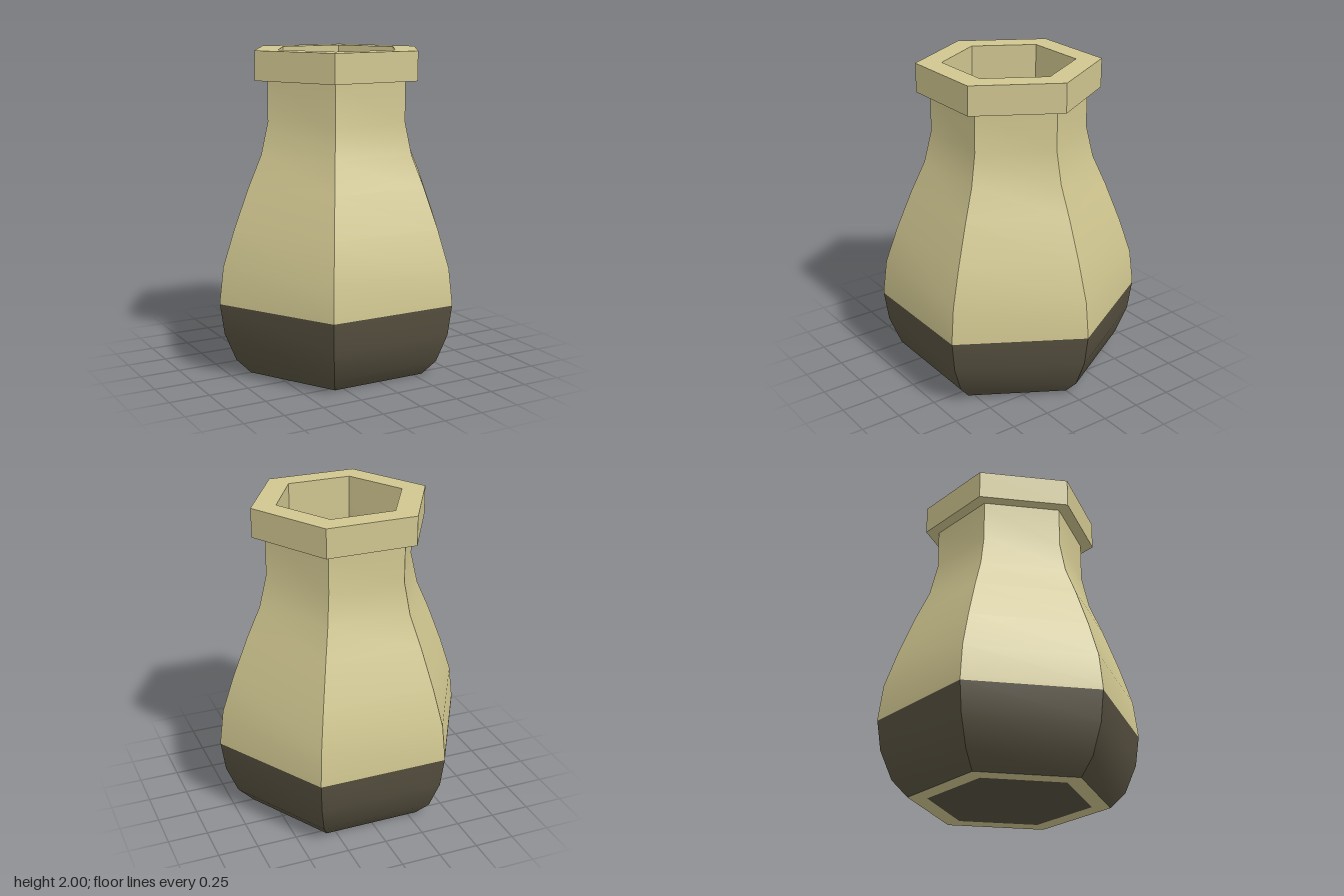
import * as THREE from 'three';
import { toCreasedNormals } from 'three/addons/utils/BufferGeometryUtils.js';

export function createModel() {
  const group = new THREE.Group();
  const clay = new THREE.MeshStandardMaterial({ color: 0xd0c690 });
  clay.name = 'pale clay';
  const glaze = new THREE.MeshStandardMaterial({ color: 0x575140 });
  glaze.name = 'dark glaze';

  // Six-sided turned part; profile is [corner radius, height], outside going up.
  // Soft along the profile, sharp at the six corners.
  function turned(name, profile, material, crease = 0.55) {
    const points = profile.map(([r, y]) => new THREE.Vector2(r, y));
    const geometry = toCreasedNormals(
      new THREE.LatheGeometry(points, 6, Math.PI / 6), crease);
    const mesh = new THREE.Mesh(geometry, material);
    mesh.name = name;
    group.add(mesh);
  }

  // Outer shell
  turned('base', [[0.617, 0], [0.715, 0.1], [0.79, 0.28], [0.817, 0.47]], glaze);
  turned('body', [
    [0.817, 0.47], [0.815, 0.5], [0.79, 0.7], [0.712, 0.93], [0.613, 1.18],
    [0.527, 1.37], [0.48, 1.57], [0.48, 1.82],
  ], clay);

  // Projecting lip around the mouth
  turned('lip', [[0.48, 1.82], [0.563, 1.82], [0.563, 2], [0.405, 2], [0.405, 1.82]], clay);

  // Hollow inside
  turned('innerWall', [
    [0.405, 1.82], [0.405, 1.57], [0.45, 1.37], [0.535, 1.18], [0.635, 0.93],
    [0.71, 0.7], [0.737, 0.47],
  ], clay);
  turned('innerBase', [[0.737, 0.47], [0.71, 0.32], [0.6, 0.2], [0.28, 0.07]], glaze);
  turned('innerFloor', [[0.28, 0.07], [0.18, 0.04], [0, 0.015]], clay, 0.01);

  // Underside: pale foot ring around a dark centre
  turned('footRing', [[0.5, 0], [0.617, 0]], clay);
  turned('footCentre', [[0, 0], [0.5, 0]], glaze);

  return group;
}
